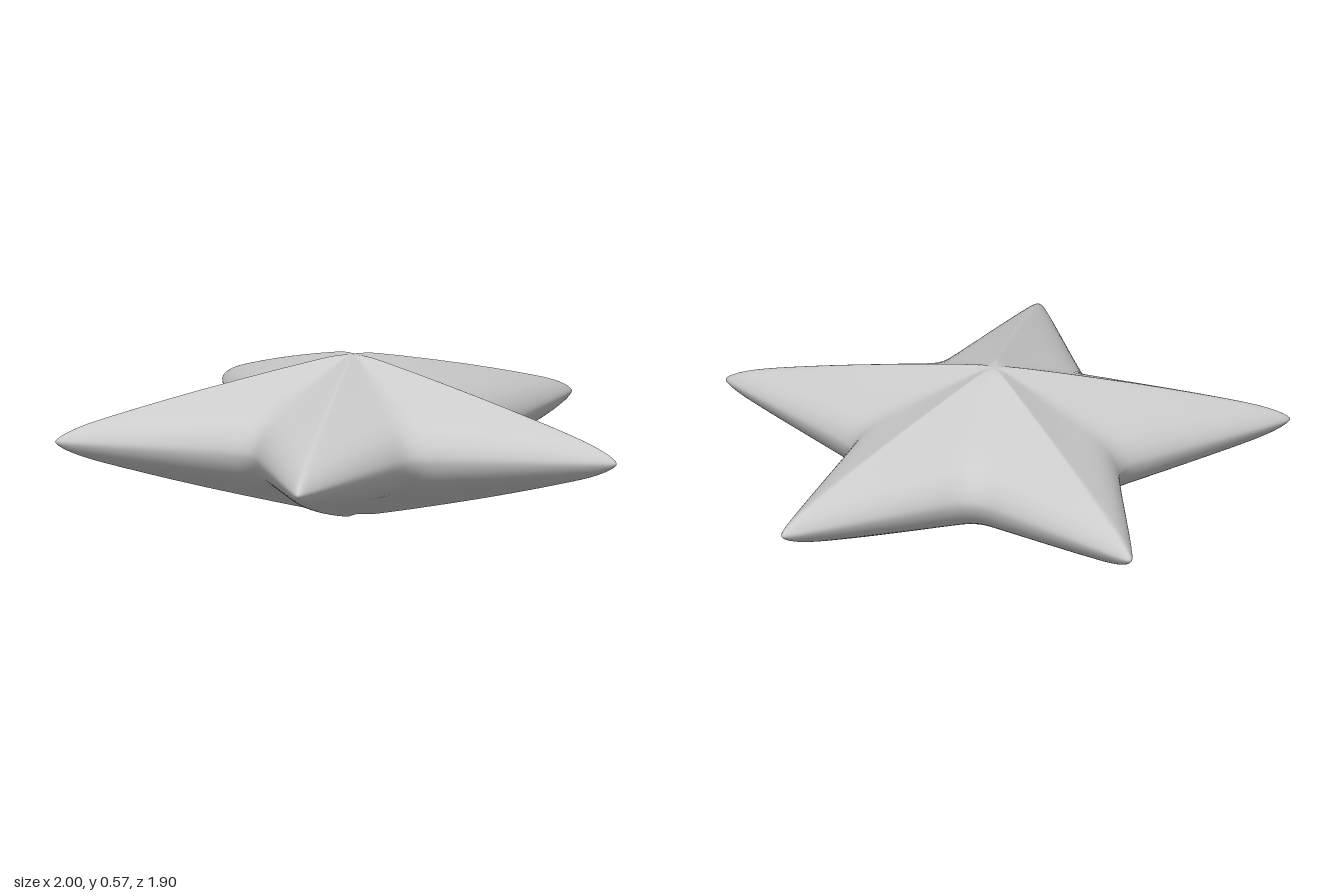
import * as THREE from 'three';
import { mergeVertices } from 'three/addons/utils/BufferGeometryUtils.js';

const ARMS = 5, TIP_R = 1.05, NOTCH_R = 0.508, MID_Y = 0.285, CENTRE_Z = 0.1;

// Half an arm in plan, from tip to notch: [along the arm, sideways]
const HALF_ARM = [[1.05, 0], [1.038, 0.013], [1.0, 0.032], [0.9, 0.075],
  [0.7, 0.157], [0.5, 0.24], [0.44, 0.27], [0.411, 0.299]];

// Upper profile from apex to rim: [outline scale, height on ridge, height in valley]
const PROFILE = [[0, 0.285, 0.285], [0.06, 0.281, 0.281], [0.13, 0.267, 0.268],
  [0.5, 0.175, 0.188], [0.78, 0.096, 0.13], [0.9, 0.058, 0.09],
  [0.96, 0.032, 0.055], [0.99, 0.013, 0.025], [1, 0, 0]];

// Closed, rounded star outline in the horizontal plane
function starOutline() {
  const arm = [
    ...HALF_ARM.slice(1, -1).reverse().map(([u, v]) => [u, -v]),
    ...HALF_ARM,
  ];
  const points = [];
  for (let k = 0; k < ARMS; k++) {
    const a = (k / ARMS) * Math.PI * 2, s = Math.sin(a), c = Math.cos(a);
    for (const [u, v] of arm) points.push(new THREE.Vector3(u * s + v * c, 0, -u * c + v * s));
  }
  return new THREE.CatmullRomCurve3(points, true).getPoints(points.length * 2).slice(0, -1);
}

// Profile from top apex round the rim to the bottom apex
function fullProfile() {
  const lower = PROFILE.slice(0, -1).reverse().map(([t, r, v]) => [t, -r, -v]);
  const points = [...PROFILE, ...lower].map((p) => new THREE.Vector3(...p));
  return new THREE.CatmullRomCurve3(points).getPoints((points.length - 1) * 3);
}

// Scale the outline along the profile, blending ridge and valley heights
function starGeometry() {
  const outline = starOutline(), profile = fullProfile();
  const n = outline.length, positions = [], index = [];
  profile.forEach(({ x: t, y: ridge, z: valley }, i) => {
    outline.forEach((p, j) => {
      const w = THREE.MathUtils.clamp((p.length() - NOTCH_R) / (TIP_R - NOTCH_R), 0, 1);
      positions.push(p.x * t, MID_Y + THREE.MathUtils.lerp(valley, ridge, w), CENTRE_Z + p.z * t);
      if (i === profile.length - 1) return;
      const a = i * n + j, b = i * n + (j + 1) % n, c = a + n, d = b + n;
      if (i < profile.length - 2) index.push(a, d, c);
      if (i > 0) index.push(a, b, d);
    });
  });
  const geometry = new THREE.BufferGeometry();
  geometry.setAttribute('position', new THREE.Float32BufferAttribute(positions, 3));
  geometry.setIndex(index);
  const merged = mergeVertices(geometry, 1e-5);
  merged.computeVertexNormals();
  return merged;
}

export function createModel() {
  const group = new THREE.Group();
  group.name = 'star';
  const body = new THREE.Mesh(starGeometry(), new THREE.MeshStandardMaterial({ color: 0xcccccc }));
  body.name = 'starBody';
  group.add(body);
  return group;
}
